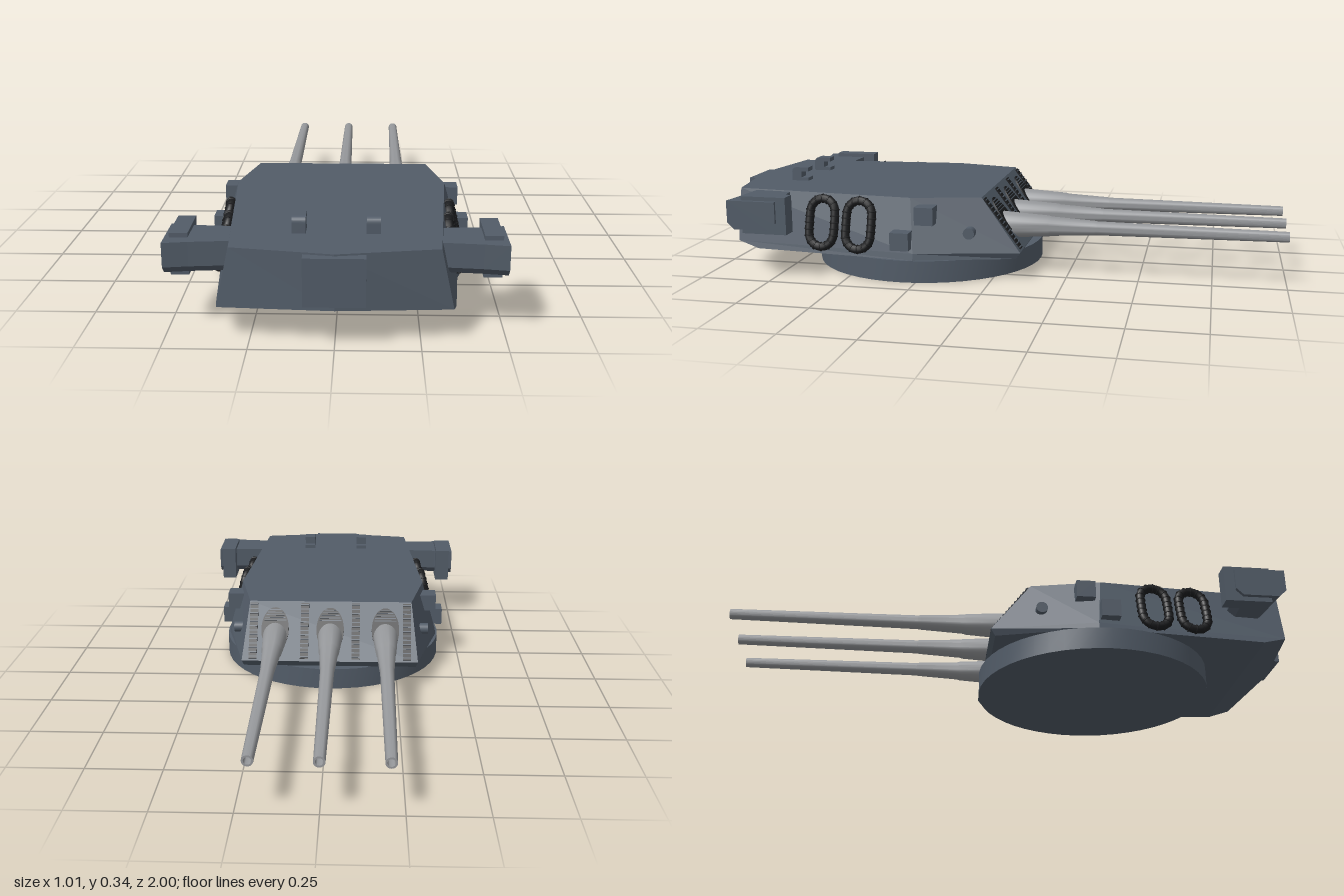
import * as THREE from 'three';
import { toCreasedNormals } from 'three/addons/utils/BufferGeometryUtils.js';

const hull = new THREE.MeshStandardMaterial({ color: 0x525c68 });
hull.name = 'hull grey';
const steel = new THREE.MeshStandardMaterial({ color: 0x96989b });
steel.name = 'barrel steel';
const black = new THREE.MeshStandardMaterial({ color: 0x1b1c1e });
black.name = 'raft black';

function add(parent, name, geometry, material, x = 0, y = 0, z = 0) {
  const mesh = new THREE.Mesh(geometry, material);
  mesh.name = name;
  mesh.position.set(x, y, z);
  parent.add(mesh);
  return mesh;
}

const box = (w, h, d) => new THREE.BoxGeometry(w, h, d);

// Flat-faced solid through rings of [x, y, z]; rings run clockwise seen from the last one
function loft(rings) {
  const p = [];
  const tri = (a, b, c) => p.push(...a, ...b, ...c);
  const n = rings[0].length;
  for (let r = 0; r < rings.length - 1; r++) {
    const a = rings[r], b = rings[r + 1];
    for (let i = 0; i < n; i++) {
      const j = (i + 1) % n;
      tri(a[i], b[i], b[j]);
      tri(a[i], b[j], a[j]);
    }
  }
  const first = rings[0], last = rings[rings.length - 1];
  for (let i = 1; i < n - 1; i++) {
    tri(first[0], first[i], first[i + 1]);
    tri(last[0], last[i + 1], last[i]);
  }
  const g = new THREE.BufferGeometry();
  g.setAttribute('position', new THREE.Float32BufferAttribute(p, 3));
  g.computeVertexNormals();
  return g;
}

// Full ring from its +x half; the final half point lies on the centre line
const mirrorRing = half => [
  ...half,
  ...half.slice(0, -1).reverse().map(([x, y, z]) => [-x, y, z]),
];

// Oval raft: a tube with lashing bands, lying in its local zy plane
function makeRaft() {
  const raft = new THREE.Group();
  raft.name = 'lifeRaft';
  const points = [];
  for (let i = 0; i < 32; i++) {
    const a = (i + 0.5) / 32 * Math.PI * 2;
    points.push(new THREE.Vector3(0, Math.sin(a) * 0.047 + Math.sign(Math.sin(a)) * 0.038, Math.cos(a) * 0.047));
  }
  const path = new THREE.CatmullRomCurve3(points, true);
  add(raft, 'raftTube', new THREE.TubeGeometry(path, 64, 0.015, 10, true), black);
  const bandGeometry = new THREE.TorusGeometry(0.0145, 0.003, 6, 12);
  for (let i = 0; i < 20; i++) {
    const at = path.getPointAt(i / 20);
    const band = add(raft, 'raftBand', bandGeometry, black, at.x, at.y, at.z);
    band.quaternion.setFromUnitVectors(new THREE.Vector3(0, 0, 1), path.getTangentAt(i / 20));
  }
  return raft;
}

// Sight hood with a rounded rear top
function hoodGeometry() {
  const s = new THREE.Shape();
  s.moveTo(-0.032, -0.005);
  s.lineTo(0.032, -0.005);
  s.lineTo(0.032, 0.03);
  s.quadraticCurveTo(0.032, 0.05, 0.012, 0.05);
  s.lineTo(-0.032, 0.05);
  s.lineTo(-0.032, 0.035);
  s.lineTo(-0.005, 0.035);
  s.lineTo(-0.005, 0.012);
  s.lineTo(-0.032, 0.012);
  s.closePath();
  const g = new THREE.ExtrudeGeometry(s, { depth: 0.042, bevelEnabled: false });
  g.translate(0, 0, -0.021);
  g.rotateY(-Math.PI / 2);
  return g;
}

export function createModel() {
  const model = new THREE.Group();
  model.name = 'gunTurret';

  // Round base
  const base = toCreasedNormals(new THREE.CylinderGeometry(0.42, 0.42, 0.077, 48), 0.6);
  add(model, 'base', base, hull, 0, 0.0385, 0.302);

  // Armoured house: floor, knuckle and roof outlines
  add(model, 'house', loft([
    mirrorRing([[0.318, 0.077, -0.085], [0.412, 0.077, 0.26], [0.358, 0.077, 0.85], [0, 0.077, 0.85]]),
    mirrorRing([[0.325, 0.1, -0.1], [0.408, 0.1, 0.26], [0.345, 0.1, 0.93], [0, 0.113, 0.98]]),
    mirrorRing([[0.302, 0.285, 0.04], [0.355, 0.285, 0.28], [0.305, 0.285, 0.93], [0, 0.285, 0.98]]),
  ]), hull);

  // Rear door
  add(model, 'rearDoor', box(0.18, 0.147, 0.04), hull, 0, 0.206, 0.98);

  // Sloping front plate frame: local y runs up the slope, local z points outward
  const face = new THREE.Group();
  face.name = 'frontPlateDetails';
  face.quaternion.setFromRotationMatrix(new THREE.Matrix4().makeBasis(
    new THREE.Vector3(-1, 0, 0),
    new THREE.Vector3(0, 0.797, 0.603),
    new THREE.Vector3(0, 0.603, -0.797),
  ));
  face.position.set(0, 0.1925, -0.03);
  model.add(face);

  // Ladders
  for (const x of [-0.285, -0.095, 0.095, 0.285]) {
    add(face, 'ladderRecess', box(0.03, 0.215, 0.006), black, x, 0, 0.002);
    for (let i = 0; i < 13; i++) {
      add(face, 'ladderRung', box(0.03, 0.004, 0.006), hull, x, -0.1 + i * 0.0167, 0.005);
    }
  }

  // Gun ports and barrels
  const barrelProfile = [
    [0.05, -0.06], [0.048, 0], [0.037, 0.18], [0.034, 0.19], [0.026, 0.34],
    [0.0245, 0.35], [0.018, 1], [0.012, 1], [0.012, 0.94], [0, 0.94],
  ].map(([r, d]) => new THREE.Vector2(r, d));
  const barrel = toCreasedNormals(new THREE.LatheGeometry(barrelProfile, 24), 0.6);
  barrel.rotateX(-Math.PI / 2);
  const port = new THREE.CylinderGeometry(1, 1, 0.008, 32);
  port.rotateX(Math.PI / 2);
  for (const x of [-0.205, 0, 0.205]) {
    const opening = add(face, 'gunPort', port, black, x, 0.005, 0.001);
    opening.scale.set(0.051, 0.085, 1);
    for (let i = 0; i < 5; i++) {
      const y = 0.04 + i * 0.01;
      const w = 0.09 * Math.sqrt(1 - ((y - 0.005) / 0.085) ** 2);
      add(face, 'portRib', box(w, 0.003, 0.004), hull, x, y, 0.005);
    }
    add(model, 'gunBarrel', barrel, steel, x, 0.172, 0);
  }

  // Roof sight hoods
  const hood = hoodGeometry();
  for (const x of [-0.111, 0.111]) add(model, 'sightHood', hood, hull, x, 0.285, 0.775);

  // Fittings on both sides
  const armSection = (x, front, back) => [
    [x, 0.281, back], [x, 0.281, front], [x, 0.205, front],
    [x, 0.181, front + 0.025], [x, 0.181, back - 0.025], [x, 0.205, back],
  ];
  for (const s of [-1, 1]) {
    // Rangefinder arm and its end housing
    const sections = [
      armSection(s * 0.27, 0.738, 0.862),
      armSection(s * 0.43, 0.728, 0.878),
      armSection(s * 0.505, 0.715, 0.89),
    ];
    add(model, 'rangefinderArm', loft(s > 0 ? sections : sections.reverse()), hull);
    add(model, 'rangefinderHousing', box(0.055, 0.13, 0.16), hull, s * 0.4625, 0.23, 0.762);

    // Life rafts leaning on the sloping wall
    for (const [x, z] of [[0.376, 0.463], [0.364, 0.602]]) {
      const raft = makeRaft();
      raft.position.set(s * x, 0.185, z);
      raft.rotation.set(0, -s * 0.09, s * 0.23);
      model.add(raft);
    }

    // Lockers and round port
    add(model, 'lowerLocker', box(0.085, 0.062, 0.066), hull, s * 0.3925, 0.146, 0.3);
    add(model, 'upperLocker', box(0.075, 0.062, 0.066), hull, s * 0.366, 0.231, 0.221);
    const boss = add(model, 'sidePort', new THREE.CylinderGeometry(0.02, 0.02, 0.05, 20), hull, s * 0.343, 0.17, 0.072);
    boss.rotation.z = Math.PI / 2;
  }

  return model;
}
